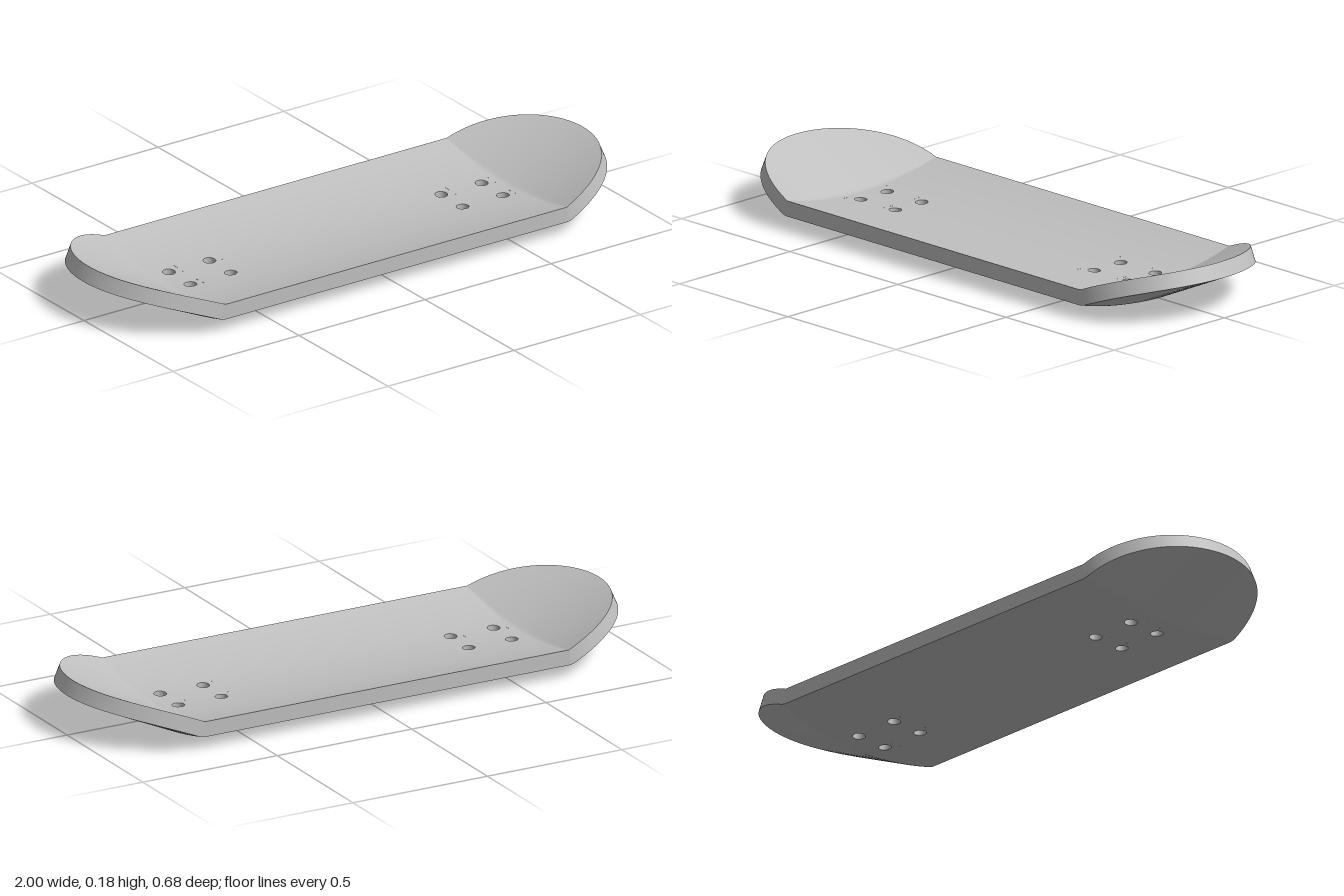
import * as THREE from 'three';
import { mergeVertices } from 'three/addons/utils/BufferGeometryUtils.js';

const HALF_WIDTH = 0.34, THICK = 0.053, CONCAVE = 0.045;
const BEND_X = 0.675, BEND_R = 0.105, BEND_A = 0.424; // kick bend start, radius and angle
const BEND_END = BEND_X + BEND_R * BEND_A;
const TIP = BEND_END + (1 - BEND_X - BEND_R * Math.sin(BEND_A)) / Math.cos(BEND_A);
const CAP = TIP - HALF_WIDTH; // centre of the round ends on the unbent board
const HOLE_R = 0.021, PATCH = 0.04;

const holes = [];
for (const x of [-0.62, -0.46, 0.46, 0.62]) for (const z of [-0.06, 0.06]) holes.push([x, z]);

// Bends a flat board point (length u, width z, height h) into the concave, kicked shape
function bend(u, z, h) {
  const a = Math.abs(u), s = Math.sign(u);
  const n = h + CONCAVE * (z / HALF_WIDTH) ** 2;
  if (a <= BEND_X) return [u, n, z];
  const t = Math.min((a - BEND_X) / BEND_R, BEND_A);
  const rest = Math.max(a - BEND_END, 0);
  const x = BEND_X + (BEND_R - n) * Math.sin(t) + rest * Math.cos(t);
  const y = BEND_R - (BEND_R - n) * Math.cos(t) + rest * Math.sin(t);
  return [s * x, y, z];
}

// Half width of the outline at length u
function halfWidth(u) {
  const d = Math.max(Math.abs(u) - CAP, 0);
  return Math.sqrt(Math.max(HALF_WIDTH ** 2 - d * d, 0));
}

// Smooth geometry from a list of quads
function fromQuads(quads) {
  const pos = [];
  for (const [a, b, c, d] of quads) pos.push(...a, ...b, ...c, ...a, ...c, ...d);
  const g = new THREE.BufferGeometry();
  g.setAttribute('position', new THREE.Float32BufferAttribute(pos, 3));
  const merged = mergeVertices(g, 1e-5);
  merged.computeVertexNormals();
  return merged;
}

// Grid lines along the length and across the width
function lengthLines() {
  const half = [0.2, 0.42, 0.46, 0.5, 0.54, 0.58, 0.62, 0.66, BEND_X, 0.682];
  for (let i = 0; i <= 40; i++) half.push(CAP + HALF_WIDTH * Math.sin((i / 40) * Math.PI / 2));
  return [...half.map((u) => -u).reverse(), 0, ...half];
}
function widthLines() {
  const half = [];
  for (let i = 0; i <= 8; i++) half.push(0.02 + 0.04 * i);
  return [...half.map((v) => -v).reverse(), 0, ...half];
}

// Points around a hole; square = true gives the matching square border
function ring([cx, cz], square) {
  return Array.from({ length: 25 }, (_, i) => {
    const t = ((i % 24) / 24) * Math.PI * 2, c = Math.cos(t), s = Math.sin(t);
    const r = square ? PATCH / Math.max(Math.abs(c), Math.abs(s)) : HOLE_R;
    return [cx + r * c, cz + r * s];
  });
}

// One face of the deck, at height h, with the bolt holes left open
function deckFace(h, up) {
  const us = lengthLines(), vs = widthLines(), quads = [];
  const add = (a, b, c, d) => {
    const q = [a, d, c, b].map(([u, z]) => bend(u, z, h));
    quads.push(up ? q : q.reverse());
  };
  for (let i = 0; i < us.length - 1; i++) {
    const k0 = halfWidth(us[i]) / HALF_WIDTH, k1 = halfWidth(us[i + 1]) / HALF_WIDTH;
    for (let j = 0; j < vs.length - 1; j++) {
      const mu = (us[i] + us[i + 1]) / 2, mv = (vs[j] + vs[j + 1]) / 2;
      if (holes.some(([x, z]) => Math.abs(mu - x) < PATCH && Math.abs(mv - z) < PATCH)) continue;
      add([us[i], vs[j] * k0], [us[i + 1], vs[j] * k1],
        [us[i + 1], vs[j + 1] * k1], [us[i], vs[j + 1] * k0]);
    }
  }
  for (const hole of holes) {
    const inner = ring(hole, false), outer = ring(hole, true);
    for (let i = 0; i < 24; i++) add(inner[i], outer[i], outer[i + 1], inner[i + 1]);
  }
  return fromQuads(quads);
}

// Wall between the two faces along a path of flat points
function wall(path) {
  const quads = [];
  for (let i = 0; i < path.length - 1; i++) {
    const [p, q] = [path[i], path[i + 1]];
    quads.push([bend(...p, 0), bend(...q, 0), bend(...q, THICK), bend(...p, THICK)]);
  }
  return fromQuads(quads);
}

export function createModel() {
  const group = new THREE.Group();
  group.name = 'skateboardDeck';
  const grey = new THREE.MeshStandardMaterial({ color: 0xc0c0c0 });
  grey.name = 'light grey';
  const add = (name, geometry) => {
    const mesh = new THREE.Mesh(geometry, grey);
    mesh.name = name;
    group.add(mesh);
  };

  add('deckTop', deckFace(THICK, true));
  add('deckBottom', deckFace(0, false));

  // Rim around the whole outline
  const us = lengthLines();
  const front = us.map((u) => [u, halfWidth(u)]);
  const back = us.map((u) => [u, -halfWidth(u)]).reverse();
  add('rim', wall([...front, ...back.slice(1)]));

  // Bolt hole walls
  holes.forEach((hole, i) => add(`boltHole${i + 1}`, wall(ring(hole, false))));
  return group;
}
